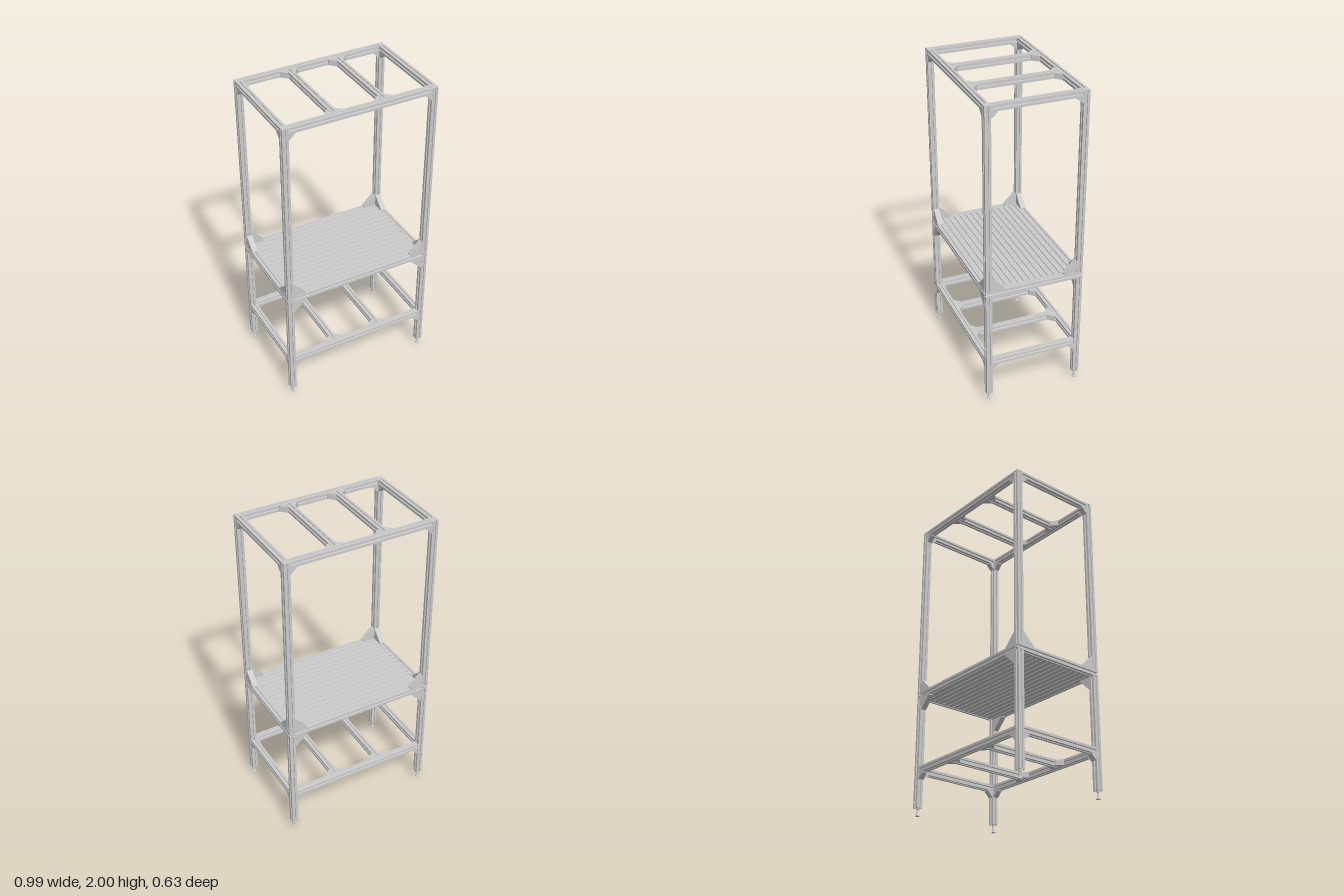
import * as THREE from 'three';

const U = 0.0396;                 // side of one square profile
const X = 0.496 - U / 2;          // post centre lines
const Z = 8 * U - U / 2;
const XI = X - U / 2;             // inner faces of the posts
const ZI = Z - U / 2;
const TOP = 2 - U / 2, MID = 0.788, LOW = 0.288, FOOT = 0.05;

const material = new THREE.MeshStandardMaterial({ color: 0xcccccc });

// Slotted aluminium section, n units wide and one unit high
function slottedShape(n) {
  const w = n * U / 2, h = U / 2;
  // half of a T-slot: [offset along the side, depth]
  const half = [[0.0046, 0], [0.0046, 0.0045], [0.0103, 0.0045], [0.0103, 0.007], [0.005, 0.0123]];
  const slot = [...half.map(([a, d]) => [-a, d]), ...half.slice().reverse()];
  const points = [];
  const side = (x, y, dx, dy, count) => {
    points.push(new THREE.Vector2(x, y));
    for (let i = 0; i < count; i++) {
      const c = (i + 0.5) * U;
      for (const [a, d] of slot) {
        points.push(new THREE.Vector2(x + dx * (c + a) - dy * d, y + dy * (c + a) + dx * d));
      }
    }
  };
  side(-w, -h, 1, 0, n);
  side(w, -h, 0, 1, 1);
  side(w, h, -1, 0, n);
  side(-w, h, 0, -1, 1);
  const shape = new THREE.Shape(points);
  for (let i = 0; i < n; i++) {
    shape.holes.push(new THREE.Path().absarc(-w + (i + 0.5) * U, 0, 0.0034, 0, Math.PI * 2, true));
  }
  return shape;
}

function bar(parent, name, axis, length, x, y, z, units = 1) {
  const geo = new THREE.ExtrudeGeometry(slottedShape(units), { depth: length, bevelEnabled: false, curveSegments: 6 });
  geo.translate(0, 0, -length / 2);
  if (axis === 'x') geo.rotateY(Math.PI / 2);
  if (axis === 'y') geo.rotateX(-Math.PI / 2);
  const mesh = new THREE.Mesh(geo, material);
  mesh.name = name;
  mesh.position.set(x, y, z);
  parent.add(mesh);
}

// Triangular corner bracket with legs along the directions a and b
function gusset(parent, name, size, corner, a, b) {
  const lip = 0.005, width = 0.036;
  const shape = new THREE.Shape([[0, 0], [size, 0], [size, lip], [lip, size], [0, size]]
    .map(([x, y]) => new THREE.Vector2(x, y)));
  const geo = new THREE.ExtrudeGeometry(shape, { depth: width, bevelEnabled: false });
  geo.translate(0, 0, -width / 2);
  const va = new THREE.Vector3(...a), vb = new THREE.Vector3(...b);
  geo.applyMatrix4(new THREE.Matrix4().makeBasis(va, vb, va.clone().cross(vb)));
  const mesh = new THREE.Mesh(geo, material);
  mesh.name = name;
  mesh.position.set(...corner);
  parent.add(mesh);
}

// Rectangular frame with two cross bars and its brackets
function openFrame(name, y) {
  const g = new THREE.Group();
  g.name = name;
  const small = 0.039, under = y - U / 2;
  for (const s of [-1, 1]) {
    bar(g, 'longRail', 'x', 2 * XI, 0, y, s * Z);
    bar(g, 'sideRail', 'z', 2 * ZI, s * X, y, 0);
    bar(g, 'crossBar', 'z', 2 * ZI, s * 0.16, y, 0);
    for (const t of [-1, 1]) {
      gusset(g, 'cornerBracket', small, [s * XI, under, t * Z], [-s, 0, 0], [0, -1, 0]);
      gusset(g, 'cornerBracket', small, [s * X, under, t * ZI], [0, 0, -t], [0, -1, 0]);
      for (const e of [-1, 1]) {
        gusset(g, 'crossBarBracket', small, [s * 0.16 + e * U / 2, y, t * ZI], [e, 0, 0], [0, 0, -t]);
      }
    }
  }
  return g;
}

// Slatted shelf: wide slotted planks between two full-depth rails
function shelf() {
  const g = new THREE.Group();
  g.name = 'shelf';
  for (let i = 0; i < 4; i++) bar(g, 'shelfPlank', 'x', 2 * XI, 0, MID, (i - 1.5) * 4 * U, 4);
  const big = 0.08;
  for (const s of [-1, 1]) {
    bar(g, 'shelfSideRail', 'z', 16 * U, s * X, MID, 0);
    for (const t of [-1, 1]) {
      for (const v of [-1, 1]) {
        gusset(g, 'shelfBracket', big, [s * XI, MID + v * U / 2, t * Z], [-s, 0, 0], [0, v, 0]);
      }
      gusset(g, 'shelfSideBracket', big, [s * X, MID + U / 2, t * ZI], [0, 0, -t], [0, 1, 0]);
    }
  }
  return g;
}

// Post in two lengths, interrupted by the shelf rail, with cap and levelling foot
function post(x, z) {
  const g = new THREE.Group();
  g.name = 'post';
  const lowTop = MID - U / 2, upBase = MID + U / 2, cap = 0.004;
  bar(g, 'lowerPost', 'y', lowTop - FOOT, x, (lowTop + FOOT) / 2, z);
  bar(g, 'upperPost', 'y', 2 - cap - upBase, x, (2 - cap + upBase) / 2, z);
  const lid = new THREE.Mesh(new THREE.BoxGeometry(U, cap, U), material);
  lid.name = 'postCap';
  lid.position.set(x, 2 - cap / 2, z);
  g.add(lid);
  const profile = [[0, 0], [0.013, 0], [0.013, 0.004], [0.007, 0.012], [0.007, 0.017],
    [0.0045, 0.017], [0.0045, 0.042], [0.009, 0.042], [0.009, FOOT], [0, FOOT]]
    .map(([r, y]) => new THREE.Vector2(r, y));
  // each ring doubled so the steps stay crisp
  const foot = new THREE.Mesh(new THREE.LatheGeometry(profile, 16).toNonIndexed(), material);
  foot.geometry.computeVertexNormals();
  foot.name = 'levellingFoot';
  foot.position.set(x, 0, z);
  g.add(foot);
  return g;
}

export function createModel() {
  const model = new THREE.Group();
  model.name = 'workRack';
  for (const s of [-1, 1]) for (const t of [-1, 1]) model.add(post(s * X, t * Z));
  model.add(openFrame('topFrame', TOP), openFrame('lowerFrame', LOW), shelf());
  return model;
}
